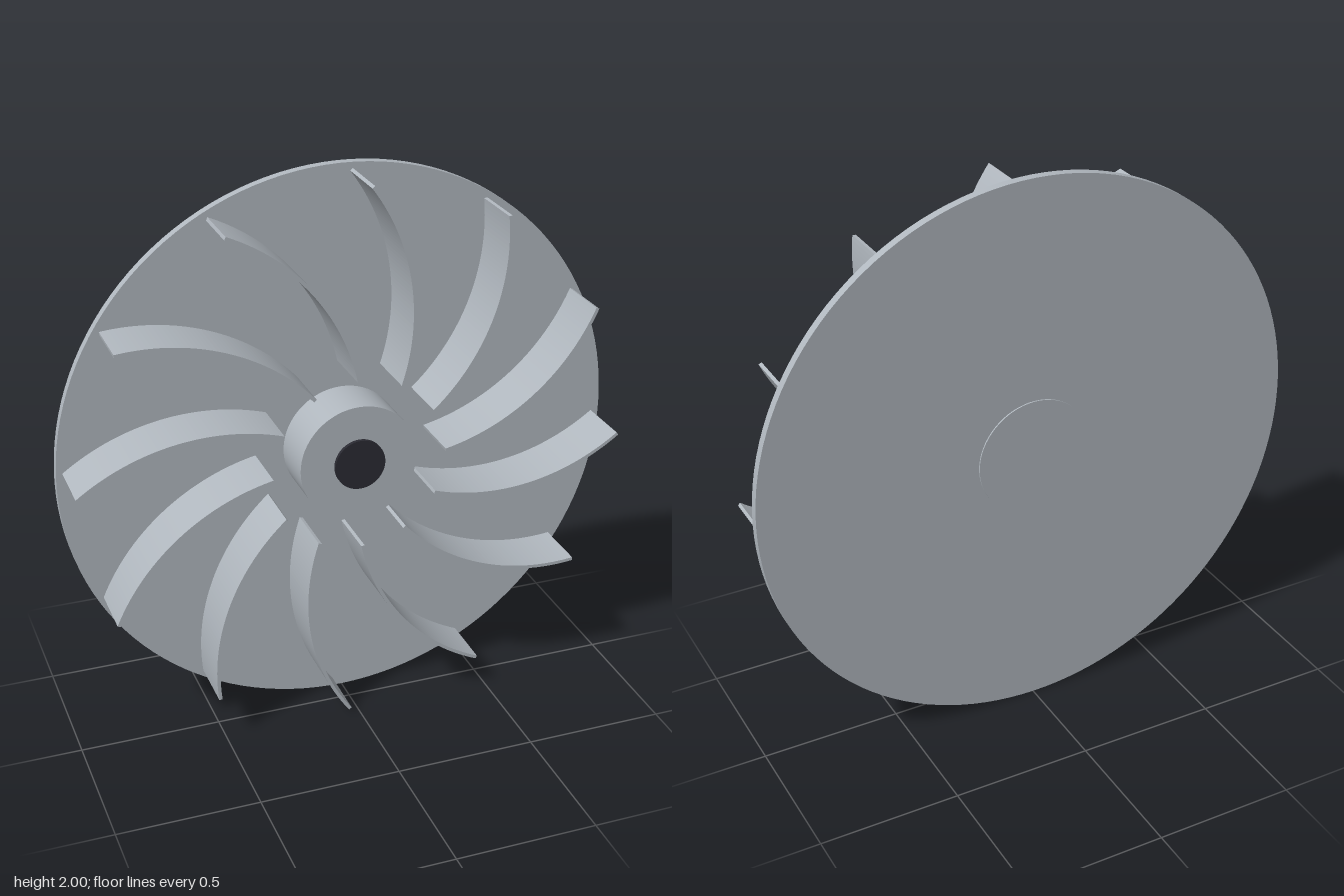
import * as THREE from 'three';

const BLADES = 12;

export function createModel() {
  const metal = new THREE.MeshStandardMaterial({ color: 0xb0b7be });
  metal.name = 'greyMetal';
  const dark = new THREE.MeshStandardMaterial({ color: 0x2a2a32 });
  dark.name = 'darkBore';

  const model = new THREE.Group();
  model.name = 'impeller';
  const wheel = new THREE.Group();
  wheel.name = 'wheel';
  wheel.position.y = 1;
  model.add(wheel);

  // Round part along z, from z0 to z1
  const drum = (name, radius, z0, z1, material, sides) => {
    const geometry = new THREE.CylinderGeometry(radius, radius, z1 - z0, sides);
    geometry.rotateX(Math.PI / 2).translate(0, 0, (z0 + z1) / 2);
    const mesh = new THREE.Mesh(geometry, material);
    mesh.name = name;
    wheel.add(mesh);
  };
  drum('backPlate', 1, -0.115, -0.083, metal, 128);
  drum('hub', 0.21, -0.12, 0.1, metal, 64);
  drum('bore', 0.09, 0.08, 0.113, dark, 48);

  // Curved blade: a thin arc strip extruded forward from the plate
  const cx = -0.581, cy = 0.5175, radius = 0.77, half = 0.006;
  const start = Math.atan2(0.272 - cy, 0.15 - cx);
  const end = Math.atan2(0.975 - cy, 0.04 - cx);
  const outline = new THREE.Shape();
  outline.absarc(cx, cy, radius + half, start, end, false);
  outline.absarc(cx, cy, radius - half, end, start, true);
  outline.closePath();
  const bladeGeometry = new THREE.ExtrudeGeometry(outline, {
    depth: 0.203, bevelEnabled: false, curveSegments: 24,
  });
  bladeGeometry.translate(0, 0, -0.083);

  for (let i = 0; i < BLADES; i++) {
    const blade = new THREE.Mesh(bladeGeometry, metal);
    blade.name = `blade${i + 1}`;
    blade.rotation.z = (i / BLADES) * Math.PI * 2;
    wheel.add(blade);
  }
  return model;
}
